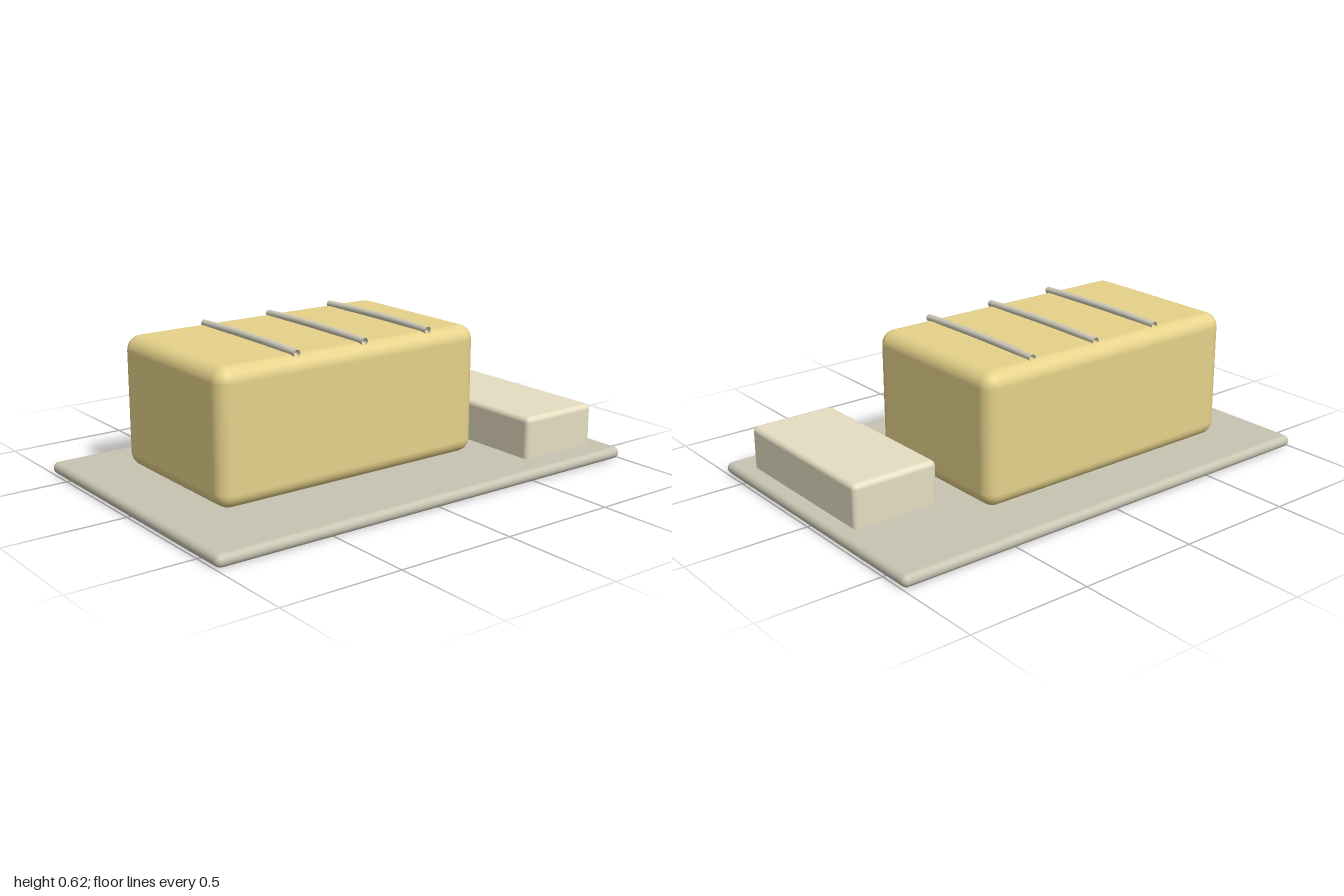
import * as THREE from 'three';
import { RoundedBoxGeometry } from 'three/addons/geometries/RoundedBoxGeometry.js';

const material = (color) => new THREE.MeshStandardMaterial({ color });

// Rounded block given by its lowest and highest corner
function block(name, min, max, radius, color) {
  const size = max.map((v, i) => v - min[i]);
  const mesh = new THREE.Mesh(new RoundedBoxGeometry(...size, 4, radius), material(color));
  mesh.position.set(...max.map((v, i) => (v + min[i]) / 2));
  mesh.name = name;
  return mesh;
}

export function createModel() {
  const model = new THREE.Group();
  model.name = 'blocksOnBoard';

  // Board, large block and low side block sunk slightly into the board
  model.add(
    block('board', [-1, 0, -0.635], [1, 0.05, 0.635], 0.0249, 0xc8c4b2),
    block('largeBlock', [-0.77, 0.05, -0.42], [0.465, 0.59, 0.305], 0.06, 0xe6d28a),
    block('sideBlock', [0.56, 0.02, -0.225], [0.93, 0.225, 0.52], 0.022, 0xe6dec2)
  );

  // Three gently arched open tubes across the top
  const arch = new THREE.QuadraticBezierCurve3(
    new THREE.Vector3(0, 0.595, 0.28),
    new THREE.Vector3(0, 0.607, -0.048),
    new THREE.Vector3(0, 0.595, -0.375)
  );
  const tubeGeometry = new THREE.TubeGeometry(arch, 16, 0.015, 10, false);
  const tubeMaterial = material(0xcfcab8);
  tubeMaterial.side = THREE.DoubleSide;
  [-0.415, -0.097, 0.221].forEach((x, i) => {
    const tube = new THREE.Mesh(tubeGeometry, tubeMaterial);
    tube.position.x = x;
    tube.name = `topTube${i + 1}`;
    model.add(tube);
  });

  return model;
}
